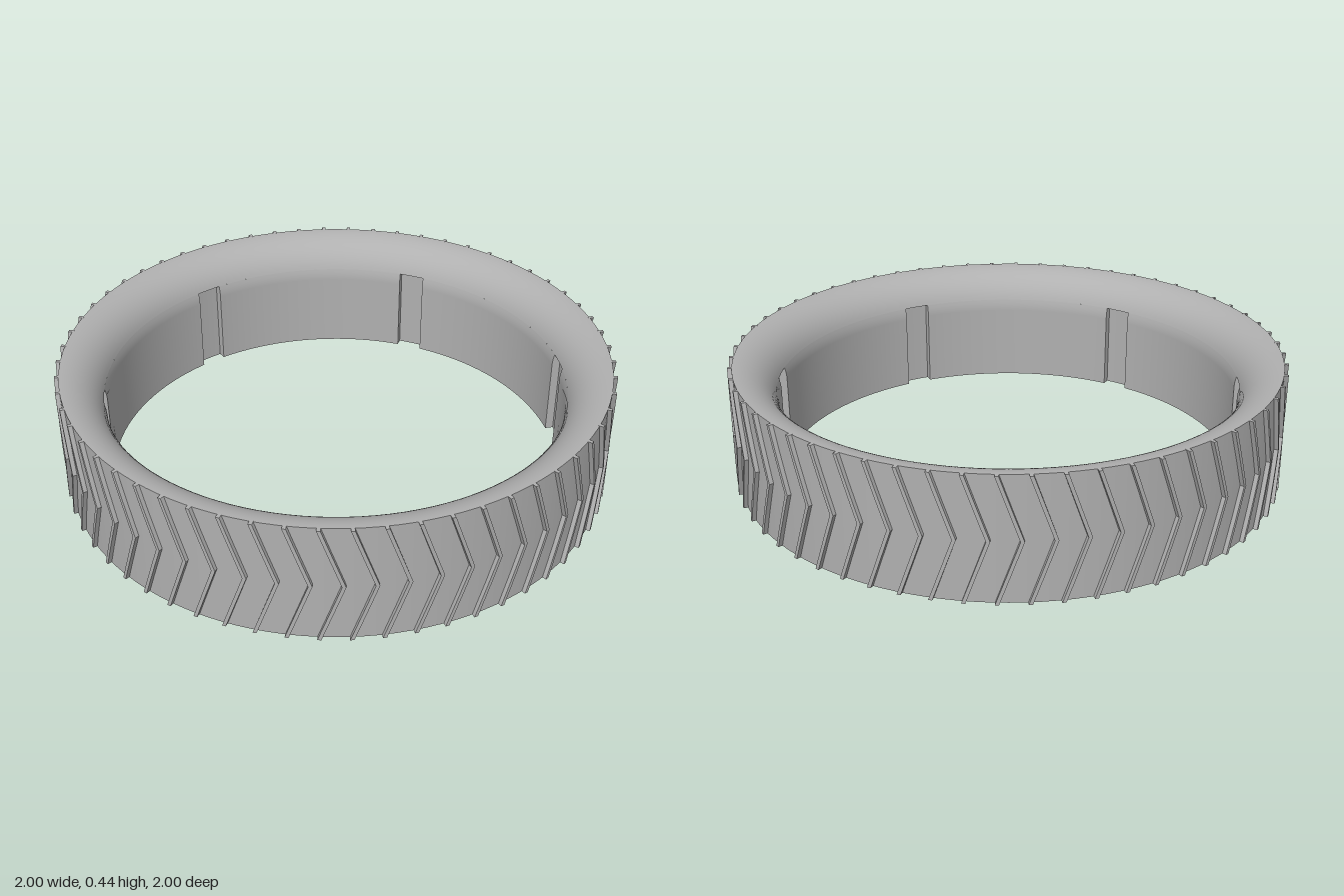
import * as THREE from 'three';
import { mergeGeometries } from 'three/addons/utils/BufferGeometryUtils.js';

const HEIGHT = 0.445, OUTER = 0.985, INNER = 0.83;
const FILLET = OUTER - INNER, ARC_Y = HEIGHT - FILLET;
const SLOTS = 6, SLOT_TOP = 0.335, SLOT_R = 0.86, SLOT_HALF = THREE.MathUtils.degToRad(3.4);
const RIBS = 60, RIB_W = THREE.MathUtils.degToRad(0.75), RIB_SHIFT = THREE.MathUtils.degToRad(4.5);
const RIB_PHASE = THREE.MathUtils.degToRad(-5.1);

const v = (r, y) => new THREE.Vector2(r, y);
const lathe = (pts, segments = 120, start = 0, length = Math.PI * 2) =>
  new THREE.LatheGeometry(pts, segments, start, length);

// points on the rounded inner lip; angle PI/2 is the outer rim, 0 the inner wall
function lip(from, to, steps) {
  return Array.from({ length: steps + 1 }, (_, i) => {
    const t = from + (to - from) * i / steps;
    return v(OUTER - FILLET * Math.cos(t), ARC_Y + FILLET * Math.sin(t));
  });
}

function ringGeometry() {
  const cut = Math.asin((SLOT_TOP - ARC_Y) / FILLET);
  const lowerLip = lip(cut, 0, 4);
  const parts = [
    lathe([v(OUTER, 0), v(OUTER, HEIGHT)]),            // outer wall
    lathe([v(SLOT_R, 0), v(OUTER, 0)]),                // underside
    lathe(lip(Math.PI / 2, cut, 16)),                  // rounded lip
  ];
  const step = Math.PI * 2 / SLOTS;
  for (let i = 0; i < SLOTS; i++) {
    const c = i * step, a = c - SLOT_HALF, b = c + SLOT_HALF;
    // plain inner wall and its underside up to the next slot
    const len = step - 2 * SLOT_HALF;
    parts.push(lathe([...lowerLip, v(INNER, 0)], 18, b, len));
    parts.push(lathe([v(INNER, 0), v(SLOT_R, 0)], 18, b, len));
    // slot ceiling and floor
    parts.push(lathe([lowerLip[0], v(SLOT_R, SLOT_TOP)], 3, a, 2 * SLOT_HALF));
    parts.push(lathe([v(SLOT_R, SLOT_TOP), v(SLOT_R, 0)], 3, a, 2 * SLOT_HALF));
    // slot sides
    const side = [v(INNER, 0), v(SLOT_R, 0), v(SLOT_R, SLOT_TOP), ...lowerLip];
    parts.push(new THREE.ShapeGeometry(new THREE.Shape(side)).rotateY(b - Math.PI / 2));
    const mirrored = side.map(p => v(-p.x, p.y));
    parts.push(new THREE.ShapeGeometry(new THREE.Shape(mirrored)).rotateY(a + Math.PI / 2));
  }
  return mergeGeometries(parts);
}

// one thin V-shaped rib wrapped onto the outer wall
function ribGeometry() {
  const geo = new THREE.BoxGeometry(1, 1, 1, 1, 8, 1);
  const p = geo.attributes.position;
  for (let i = 0; i < p.count; i++) {
    const x = p.getX(i), y = p.getY(i);
    const phi = RIB_PHASE + RIB_SHIFT * (1 - Math.abs(2 * y)) + RIB_W * x;
    const r = p.getZ(i) > 0 ? 1 : OUTER - 0.005;
    p.setXYZ(i, r * Math.sin(phi), (y + 0.5) * HEIGHT, r * Math.cos(phi));
  }
  const flat = geo.toNonIndexed();
  flat.computeVertexNormals();
  return flat;
}

export function createModel() {
  const group = new THREE.Group();
  group.name = 'treadedRing';
  const grey = new THREE.MeshStandardMaterial({ color: 0xb0b0b0 });
  grey.name = 'grey';

  const ring = new THREE.Mesh(ringGeometry(), grey);
  ring.name = 'ringBody';
  group.add(ring);

  const rib = ribGeometry();
  const treads = new THREE.Group();
  treads.name = 'chevronTread';
  for (let i = 0; i < RIBS; i++) {
    const mesh = new THREE.Mesh(rib, grey);
    mesh.name = 'treadRib';
    mesh.rotation.y = i * Math.PI * 2 / RIBS;
    treads.add(mesh);
  }
  group.add(treads);
  return group;
}
